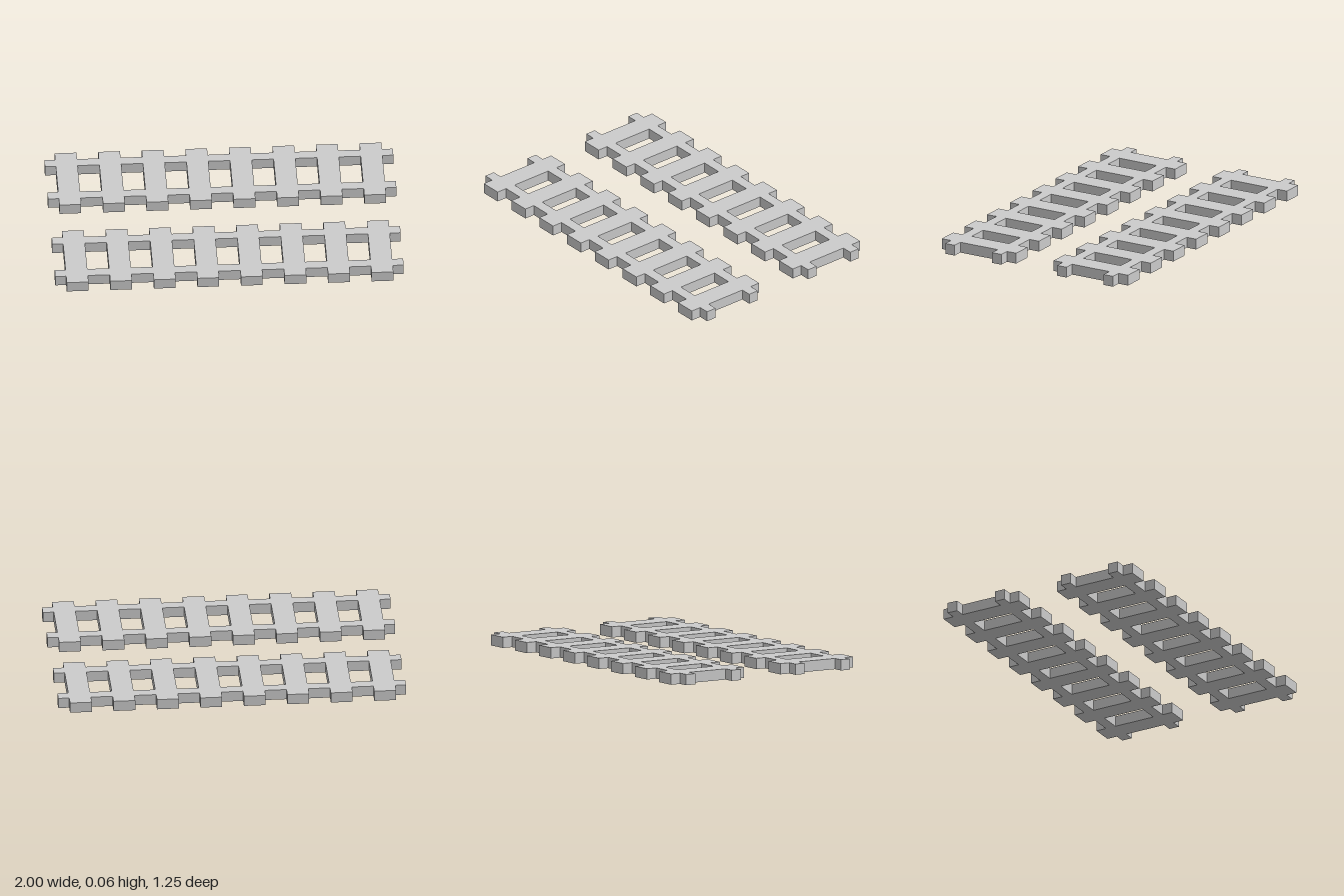
import * as THREE from 'three';

const HEIGHT = 0.0625;
const SLEEPERS = 8;
const PITCH = 0.25;
const HALF_SLEEPER = 0.0625; // half width of a sleeper along x
const SLEEPER_END = 0.25;    // distances from the centre line of a track
const RAIL_OUTER = 0.1875;
const RAIL_INNER = 0.125;
const TRACK_Z = 0.375;

// Outline of one flush ladder track: sleepers crossing two rails
function trackShape() {
  const half = [[-1, -RAIL_OUTER]];
  const centres = Array.from({ length: SLEEPERS }, (_, i) => (i - (SLEEPERS - 1) / 2) * PITCH);
  for (const c of centres) {
    const a = c - HALF_SLEEPER, b = c + HALF_SLEEPER;
    half.push([a, -RAIL_OUTER], [a, -SLEEPER_END], [b, -SLEEPER_END], [b, -RAIL_OUTER]);
  }
  // rail stubs projecting past the last sleeper
  const end = centres[SLEEPERS - 1] + HALF_SLEEPER;
  half.push([1, -RAIL_OUTER], [1, -RAIL_INNER], [end, -RAIL_INNER], [end, RAIL_INNER], [1, RAIL_INNER]);

  // the other half is the same run turned by 180 degrees
  const outline = [...half, ...half.map(([x, z]) => [-x, -z])];
  const shape = new THREE.Shape(outline.map(([x, z]) => new THREE.Vector2(x, z)));

  // openings between neighbouring sleepers
  for (let i = 0; i < SLEEPERS - 1; i++) {
    const a = centres[i] + HALF_SLEEPER, b = centres[i + 1] - HALF_SLEEPER;
    shape.holes.push(new THREE.Path([
      new THREE.Vector2(a, -RAIL_INNER), new THREE.Vector2(a, RAIL_INNER),
      new THREE.Vector2(b, RAIL_INNER), new THREE.Vector2(b, -RAIL_INNER),
    ]));
  }
  return shape;
}

export function createModel() {
  const model = new THREE.Group();
  model.name = 'trackPair';
  const material = new THREE.MeshStandardMaterial({ color: 0xcccccc, flatShading: true });

  // lay the extruded ladder flat on the ground
  const geometry = new THREE.ExtrudeGeometry(trackShape(), { depth: HEIGHT, bevelEnabled: false });
  geometry.rotateX(Math.PI / 2).translate(0, HEIGHT, 0);

  for (const [name, side] of [['frontTrack', 1], ['backTrack', -1]]) {
    const track = new THREE.Mesh(geometry, material);
    track.name = name;
    track.position.z = side * TRACK_Z;
    model.add(track);
  }
  return model;
}
